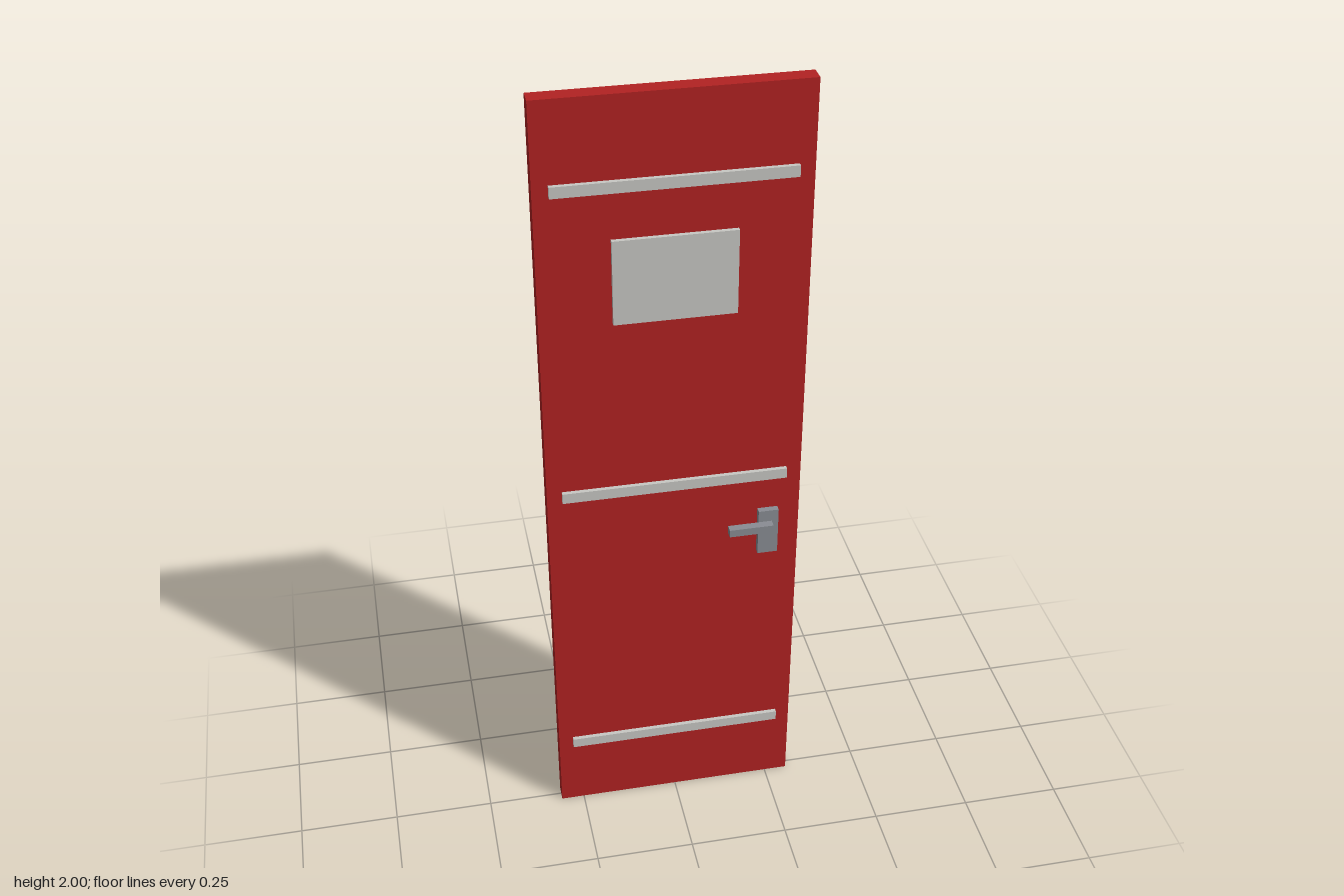
import * as THREE from 'three';

export function createModel() {
  const door = new THREE.Group();
  door.name = 'door';

  const material = (name, color) => {
    const m = new THREE.MeshStandardMaterial({ color });
    m.name = name;
    return m;
  };
  const red = material('red paint', 0xb22222);
  const paleGrey = material('pale grey trim', 0xc8c8c4);
  const steel = material('steel grey', 0x8a8d94);

  // Box given by its extents along each axis
  const box = (name, mat, [x0, x1], [y0, y1], [z0, z1]) => {
    const mesh = new THREE.Mesh(new THREE.BoxGeometry(x1 - x0, y1 - y0, z1 - z0), mat);
    mesh.position.set((x0 + x1) / 2, (y0 + y1) / 2, (z0 + z1) / 2);
    mesh.name = name;
    door.add(mesh);
  };

  // Door leaf
  box('doorLeaf', red, [-0.309, 0.309], [0, 2], [-0.0206, 0.0206]);

  // Trim strips and window panel, standing proud on both faces
  const proud = [-0.031, 0.031];
  for (const [name, y] of [['lowerStrip', 0.207], ['middleStrip', 1], ['upperStrip', 1.794]]) {
    box(name, paleGrey, [-0.273, 0.273], [y - 0.0135, y + 0.0135], proud);
  }
  box('windowPanel', paleGrey, [-0.142, 0.142], [1.459, 1.667], proud);

  // Handle plate and lever on each face
  for (const [side, s] of [['front', 1], ['back', -1]]) {
    const depth = (a, b) => (s > 0 ? [a, b] : [-b, -a]);
    box(side + 'HandlePlate', steel, [0.205, 0.255], [0.77, 0.897], depth(0.0206, 0.0365));
    box(side + 'HandleLever', steel, [0.125, 0.234], [0.858, 0.878], depth(0.0525, 0.0725));
  }
  return door;
}
